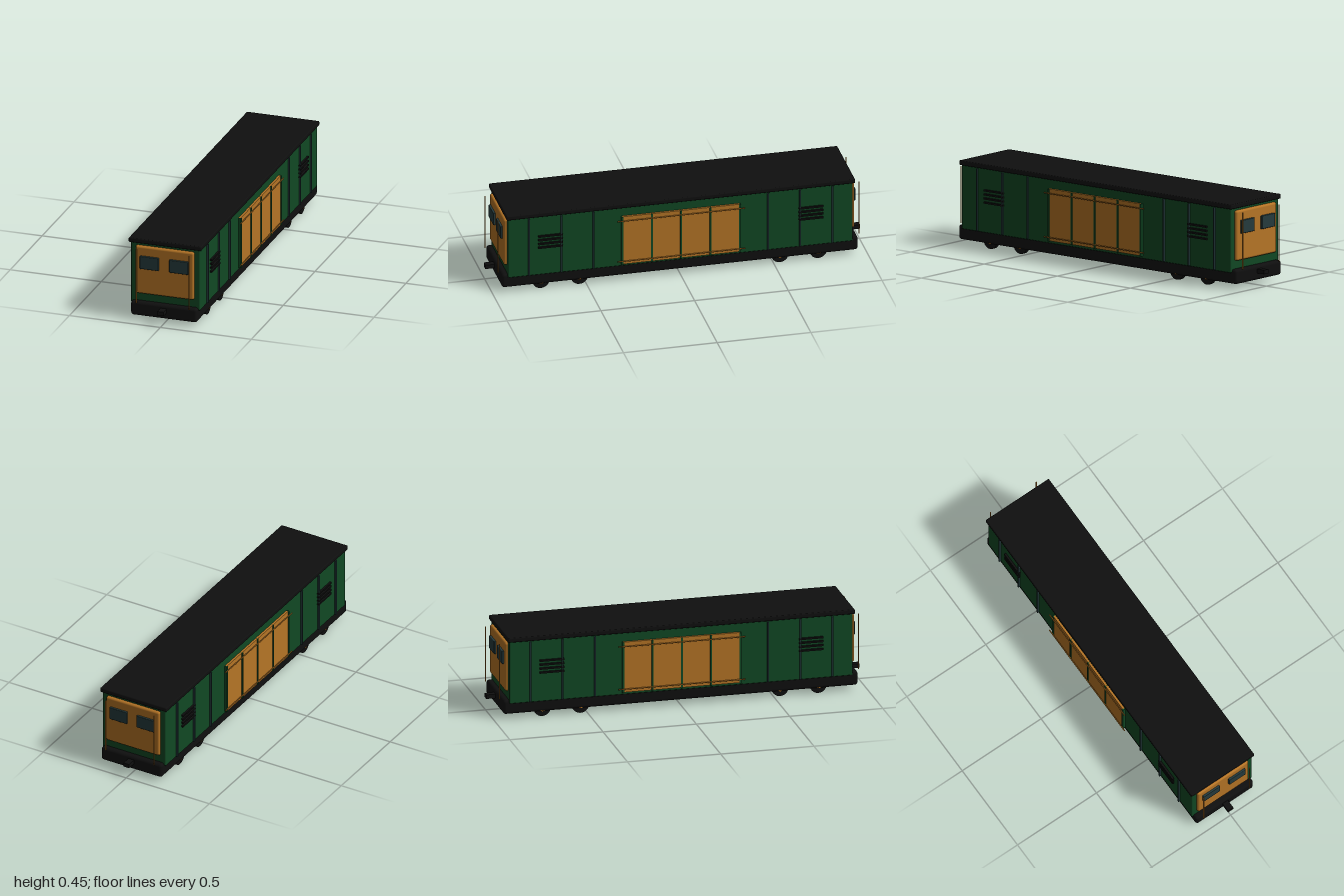
import * as THREE from 'three';
import { RoundedBoxGeometry } from 'three/addons/geometries/RoundedBoxGeometry.js';

const material = (name, color) => {
  const m = new THREE.MeshStandardMaterial({ color });
  m.name = name;
  return m;
};

export function createModel() {
  const green = material('body green', 0x114824);
  const amber = material('amber', 0xb67526);
  const slate = material('slate', 0x253b3d);
  const black = material('black', 0x0f0f0f);

  const model = new THREE.Group();
  model.name = 'locomotive';

  const add = (name, geometry, mat, x, y, z) => {
    const mesh = new THREE.Mesh(geometry, mat);
    mesh.name = name;
    mesh.position.set(x, y, z);
    model.add(mesh);
    return mesh;
  };
  const box = (name, mat, w, h, d, x, y, z) =>
    add(name, new THREE.BoxGeometry(w, h, d), mat, x, y, z);
  const rounded = (name, mat, w, h, d, r, x, y, z) =>
    add(name, new RoundedBoxGeometry(w, h, d, 3, r), mat, x, y, z);
  const rod = (name, mat, r, length, x, y, z, axis) => {
    const mesh = add(name, new THREE.CylinderGeometry(r, r, length, 24), mat, x, y, z);
    if (axis === 'x') mesh.rotation.z = Math.PI / 2;
    if (axis === 'z') mesh.rotation.x = Math.PI / 2;
    return mesh;
  };

  // Main volumes
  rounded('chassis', black, 0.364, 0.077, 1.9, 0.015, 0, 0.0665, 0);
  rounded('body', green, 0.38, 0.345, 1.84, 0.006, 0, 0.2595, 0);
  rounded('roof', black, 0.4, 0.025, 1.86, 0.006, 0, 0.437, 0);

  // Both ends: cab panel, windows, handrails and coupler
  for (const end of [1, -1]) {
    rounded('cabPanel', amber, 0.322, 0.266, 0.026, 0.012, 0, 0.28, end * 0.923);
    box('coupler', black, 0.034, 0.022, 0.08, 0, 0.076, end * 0.96);
    for (const side of [1, -1]) {
      rounded('cabWindow', slate, 0.104, 0.071, 0.016, 0.004, side * 0.081, 0.325, end * 0.939);
      rod('cabHandrail', amber, 0.003, 0.3, side * 0.145, 0.255, end * 0.963, 'y');
    }
  }

  // Both flanks
  for (const side of [1, -1]) {
    // Equipment doors, four bays between upright posts
    for (let i = 0; i < 4; i++)
      box('sideDoor', amber, 0.016, 0.275, 0.154, side * 0.194, 0.24, (i - 1.5) * 0.157);
    for (let i = -2; i <= 2; i++)
      box('doorPost', green, 0.02, 0.277, 0.01, side * 0.196, 0.2385, i * 0.157);
    for (const y of [0.122, 0.355])
      rod('sideRail', amber, 0.003, 0.68, side * 0.209, y, 0, 'z');

    for (const end of [1, -1]) {
      // Body ribs
      for (const z of [0.465, 0.637, 0.81])
        box('bodyRib', slate, 0.014, 0.328, 0.008, side * 0.193, 0.256, end * z);
      // Louvre slats
      for (let i = 0; i < 4; i++)
        box('louvre', black, 0.014, 0.009, 0.13, side * 0.194, 0.247 + i * 0.0215, end * 0.695);
      // Wheels and axle caps
      for (const z of [0.535, 0.74]) {
        rod('wheel', black, 0.046, 0.022, side * 0.16, 0.046, end * z, 'x');
        rod('axleCap', amber, 0.018, 0.012, side * 0.172, 0.046, end * z, 'x');
      }
    }
  }
  return model;
}
